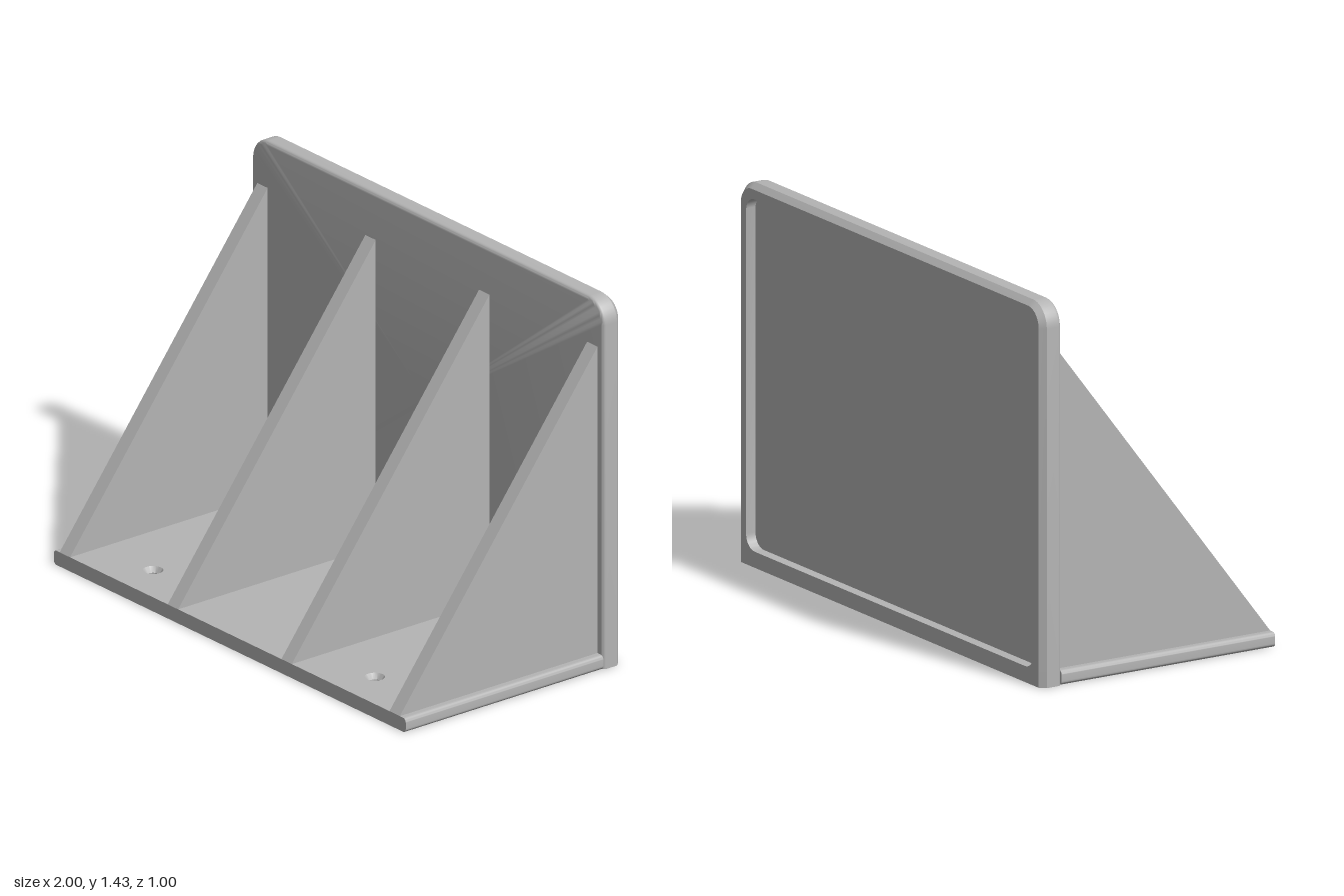
import * as THREE from 'three';
import { toCreasedNormals } from 'three/addons/utils/BufferGeometryUtils.js';

const TOP = 1.43, BACK = -0.5, FRONT = -0.415, BASE = 0.055;

// Closed outline with rounded corners, counter-clockwise seen from the front
function ring(z, inset, bottom, rTop, rBottom) {
  const steps = 10, points = [];
  const x = 1 - inset, top = TOP - inset;
  const corners = [[x, bottom, rBottom, -1, 1], [x, top, rTop, -1, -1], [-x, top, rTop, 1, -1], [-x, bottom, rBottom, 1, 1]];
  corners.forEach(([cx, cy, r, dx, dy], c) => {
    for (let i = 0; i <= steps; i++) {
      const a = (c - 1 + i / steps) * Math.PI / 2;
      points.push([cx + r * (dx + Math.cos(a)), cy + r * (dy + Math.sin(a)), z]);
    }
  });
  return points;
}

// Skin over successive rings, capped at both ends
function loft(rings, capTo) {
  const pos = [], n = rings[0].length, last = rings.length - 1;
  const centre = (z) => [0, TOP / 2, z];
  for (let i = 0; i < n; i++) {
    const j = (i + 1) % n;
    pos.push(centre(rings[0][0][2]), rings[0][i], rings[0][j]);
    for (let k = 0; k < last; k++) {
      const a = rings[k], b = rings[k + 1];
      pos.push(a[i], b[i], b[j], a[i], b[j], a[j]);
    }
    pos.push(centre(rings[last][0][2]), rings[last][j], rings[last][i]);
  }
  const g = new THREE.BufferGeometry();
  g.setAttribute('position', new THREE.Float32BufferAttribute(pos.flat(), 3));
  return toCreasedNormals(g, 0.6);
}

export function createModel() {
  const group = new THREE.Group();
  const grey = new THREE.MeshStandardMaterial({ color: 0xb4b4b4 });
  grey.name = 'grey';
  const add = (name, geometry) => {
    const mesh = new THREE.Mesh(geometry, grey);
    mesh.name = name;
    group.add(mesh);
    return mesh;
  };

  // Upright plate: rounded front edge, chamfered back edge, recessed back panel
  const f = 0.015, rings = [];
  for (let i = 0; i <= 4; i++) {
    const a = i / 4 * Math.PI / 2;
    const inset = f * (1 - Math.sin(a));
    rings.push(ring(FRONT - f * (1 - Math.cos(a)), inset, 0, 0.09 - inset, 0));
  }
  rings.push(
    ring(-0.478, 0, 0, 0.09, 0),
    ring(BACK, 0.02, 0, 0.07, 0),
    ring(BACK, 0.055, 0.06, 0.055, 0.055),
    ring(-0.46, 0.055, 0.06, 0.055, 0.055),
  );
  add('uprightPlate', loft(rings));

  // Base slab with four screw holes
  const r = 0.015, w = 1 - r, sink = 0.037, bore = 0.022;
  const slab = new THREE.Shape([[-w, -0.5], [w, -0.5], [w, -FRONT], [-w, -FRONT]].map(([x, y]) => new THREE.Vector2(x, y)));
  const holes = [];
  for (const x of [-0.63, 0.63]) for (const z of [-0.215, 0.342]) {
    holes.push([x, z]);
    slab.holes.push(new THREE.Path().absarc(x, -z, sink, 0, Math.PI * 2, true));
  }
  add('baseSlab', new THREE.ExtrudeGeometry(slab, { depth: BASE, bevelEnabled: false, curveSegments: 16 }).rotateX(-Math.PI / 2));

  // Countersunk bores
  const profile = [[sink, BASE], [bore, 0.035], [bore, 0], [sink, 0]].map(([x, y]) => new THREE.Vector2(x, y));
  const boreGeometry = toCreasedNormals(new THREE.LatheGeometry(profile, 32), 0.5);
  for (const [x, z] of holes) add('screwHole', boreGeometry).position.set(x, 0, z);

  // Rounded side edges of the base
  for (const s of [-1, 1]) {
    const edge = new THREE.Shape();
    edge.moveTo(s * w, 0);
    edge.absarc(s * w, r, r, -Math.PI / 2, s > 0 ? 0 : -Math.PI, s < 0);
    edge.absarc(s * w, BASE - r, r, s > 0 ? 0 : Math.PI, Math.PI / 2, s < 0);
    const g = new THREE.ExtrudeGeometry(edge, { depth: 0.5 - FRONT, bevelEnabled: false, curveSegments: 5 });
    add('baseEdge', toCreasedNormals(g.translate(0, 0, FRONT), 0.5));
  }

  // Triangular ribs
  const t = 0.059;
  const rib = new THREE.Shape([[0.5, BASE], [FRONT, 1.25], [FRONT, BASE]].map(([x, y]) => new THREE.Vector2(x, y)));
  const ribGeometry = new THREE.ExtrudeGeometry(rib, { depth: t, bevelEnabled: false }).rotateY(-Math.PI / 2).translate(t / 2, 0, 0);
  for (const x of [-0.937, -0.323, 0.323, 0.937]) add('rib', ribGeometry).position.x = x;

  return group;
}
